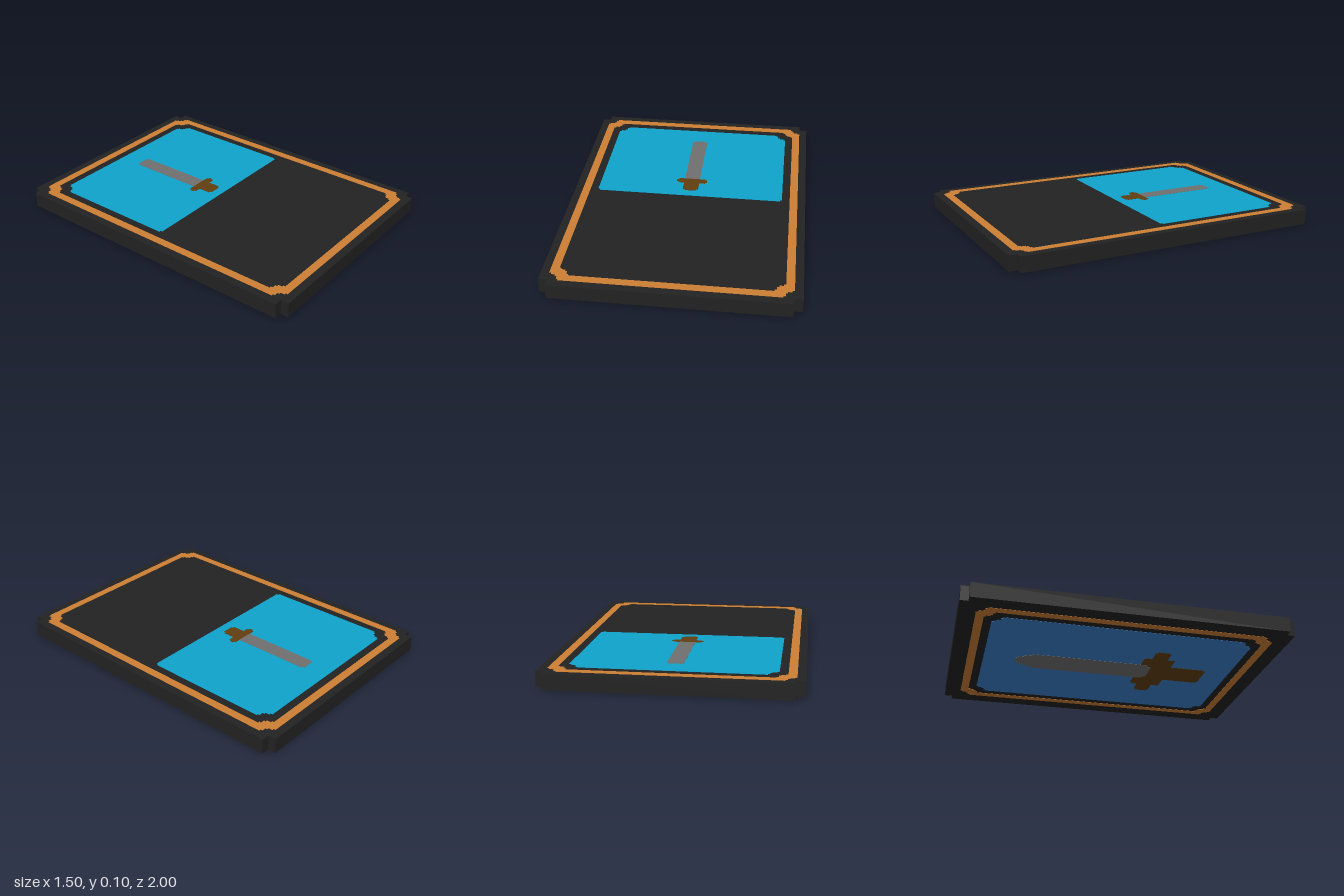
import * as THREE from 'three';

const mat = (name, color) => Object.assign(new THREE.MeshStandardMaterial({ color }), { name });
const E = 0.0125; // size of one small corner step

// Rectangle centred on x with notched, stepped corners; b = bottom notch, t = top notch
function panelPoints(w, y0, y1, b, t) {
  const corner = (c, s) => c === 0
    ? [[w, s - E], [w - E, s - E], [w - E, s]]
    : [[w, s - c - E], [w - E, s - c - E], [w - E, s - c], [w - c + E, s - c], [w - c + E, s - c + E],
      [w - c, s - c + E], [w - c, s - E], [w - c - E, s - E], [w - c - E, s]];
  const lower = corner(b, -y0).map(([x, y]) => [x, -y]).reverse();
  return mirrored([...lower, ...corner(t, y1)]);
}

// Completes a right-hand outline, listed from bottom to top, with its mirror image
function mirrored(half) {
  const all = [...half, ...half.map(([x, y]) => [-x, y]).reverse()];
  return all.map(([x, y]) => new THREE.Vector2(x, y));
}

export function createModel() {
  const black = mat('black', 0x222222);
  const orange = mat('orange', 0xcc7f33);
  const cyan = mat('cyan', 0x0fa3cc);
  const blue = mat('blue', 0x3a80cc);
  const grey = mat('grey', 0x707070);
  const brown = mat('brown', 0x623e10);
  const card = new THREE.Group();
  card.name = 'card';

  // Flat slab between heights y0 and y1; outline y points to the back (-z)
  function slab(name, points, material, y0, y1, holePoints) {
    const shape = new THREE.Shape(points);
    if (holePoints) shape.holes.push(new THREE.Path(holePoints));
    const geo = new THREE.ExtrudeGeometry(shape, { depth: y1 - y0, bevelEnabled: false });
    geo.rotateX(-Math.PI / 2).translate(0, y0, 0);
    const mesh = new THREE.Mesh(geo, material);
    mesh.name = name;
    card.add(mesh);
  }

  // Body with square notches at the corners
  slab('body', mirrored([[0.7, -1], [0.7, -0.95], [0.75, -0.95], [0.75, 0.95], [0.7, 0.95], [0.7, 1]]),
    black, 0.003, 0.097);

  // Upper face: border and half-height picture panel
  slab('frontBorder', panelPoints(0.7, -0.95, 0.95, 0.05, 0.05), orange, 0.097, 0.0985,
    panelPoints(0.65, -0.9, 0.9, 0.05, 0.05));
  slab('frontPanel', panelPoints(0.6, 0, 0.85, 0, 0.05), cyan, 0.097, 0.0985);

  // Upper face: small sword
  slab('frontBlade', mirrored([[0.05, 0.2], [0.05, 0.69], [0.0375, 0.69], [0.0375, 0.7]]), grey, 0.097, 0.1);
  slab('frontHilt', mirrored([[0.0375, 0.06], [0.0375, 0.0725], [0.05, 0.0725], [0.05, 0.15], [0.0875, 0.15],
    [0.0875, 0.1625], [0.1, 0.1625], [0.1, 0.1875], [0.0875, 0.1875], [0.0875, 0.2]]), brown, 0.097, 0.1);

  // Lower face: border and full panel
  slab('backBorder', panelPoints(0.65, -0.9, 0.9, 0.05, 0.05), orange, 0.0015, 0.003,
    panelPoints(0.6, -0.85, 0.85, 0.05, 0.05));
  slab('backPanel', panelPoints(0.55, -0.8, 0.8, 0.05, 0.05), blue, 0.0015, 0.003);

  // Lower face: large sword, its blade overlapping the guard
  slab('backHilt', mirrored([[0.0875, -0.64], [0.0875, -0.6275], [0.1, -0.6275], [0.1, -0.4], [0.2, -0.4],
    [0.2, -0.35], [0.2875, -0.35], [0.2875, -0.3375], [0.3, -0.3375], [0.3, -0.2625], [0.2875, -0.2625],
    [0.2875, -0.25], [0.2, -0.25], [0.2, -0.2125], [0.1875, -0.2125], [0.1875, -0.2]]), brown, 0.0007, 0.003);
  slab('backBlade', mirrored([[0.075, -0.275], [0.075, -0.25], [0.1, -0.25], [0.1, 0.5], [0.075, 0.5],
    [0.075, 0.55], [0.05, 0.55], [0.05, 0.5875], [0.025, 0.5875], [0.025, 0.6]]), grey, 0, 0.003);

  return card;
}
